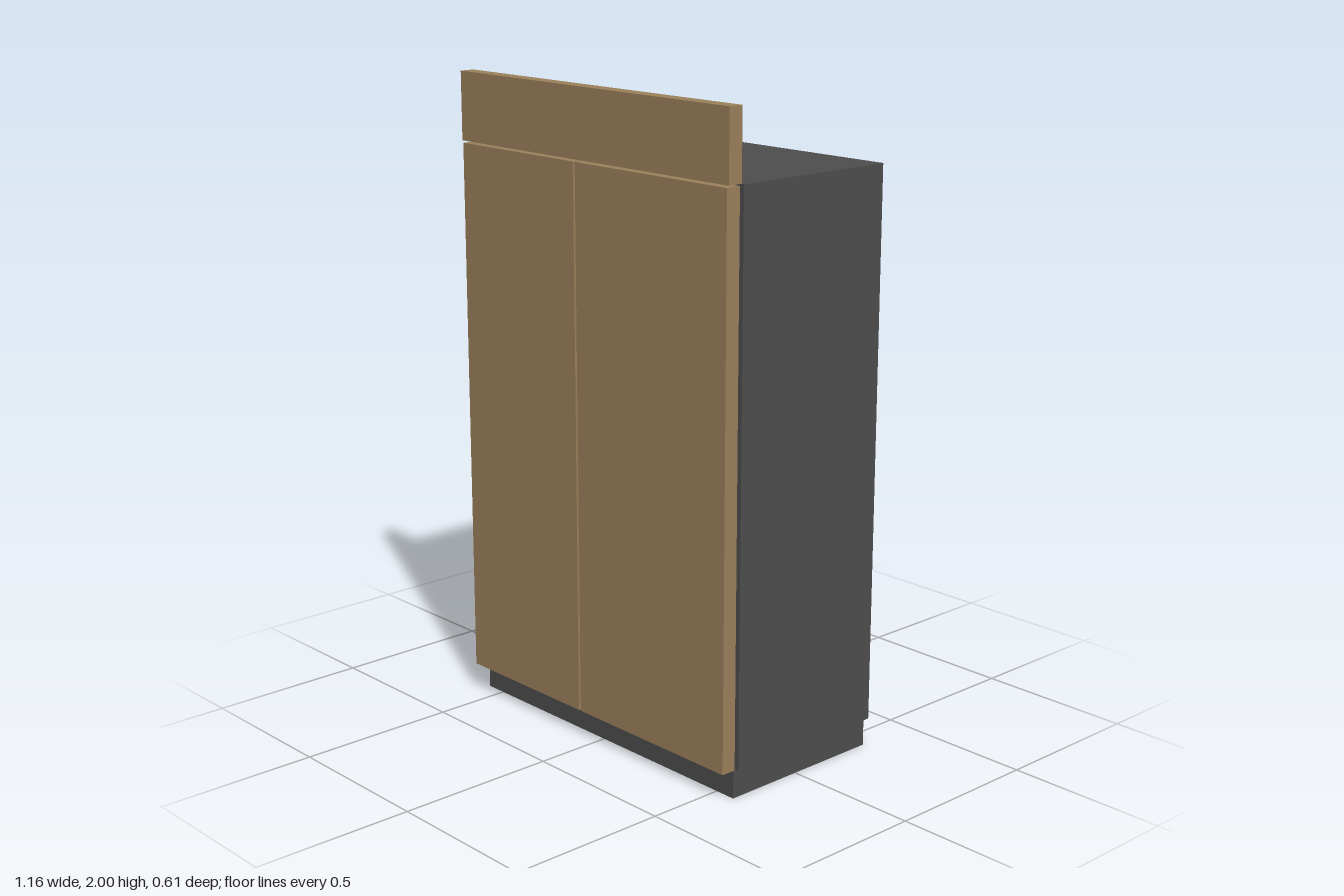
import * as THREE from 'three';

export function createModel() {
  const group = new THREE.Group();
  const wood = new THREE.MeshStandardMaterial({ color: 0x9c815c });
  wood.name = 'tan wood';
  const dark = new THREE.MeshStandardMaterial({ color: 0x4e4e4e });
  dark.name = 'dark grey';

  // Box given by its lower and upper limits on each axis
  function box(name, material, [x0, x1], [y0, y1], [z0, z1]) {
    const mesh = new THREE.Mesh(new THREE.BoxGeometry(x1 - x0, y1 - y0, z1 - z0), material);
    mesh.position.set((x0 + x1) / 2, (y0 + y1) / 2, (z0 + z1) / 2);
    mesh.name = name;
    group.add(mesh);
  }

  const front = [0.257, 0.305];

  // Recessed plinth and main carcass
  box('plinth', dark, [-0.568, 0.568], [0, 0.088], [-0.297, 0.257]);
  box('cabinetBody', dark, [-0.58, 0.58], [0.088, 1.788], [-0.305, 0.249]);

  // Two unequal doors with a narrow gap, standing just off the carcass
  box('rightDoor', wood, [-0.576, -0.061], [0.09, 1.783], front);
  box('leftDoor', wood, [-0.053, 0.573], [0.09, 1.783], front);

  // Fascia board above the doors
  box('topPanel', wood, [-0.58, 0.58], [1.79, 2], front);

  return group;
}
